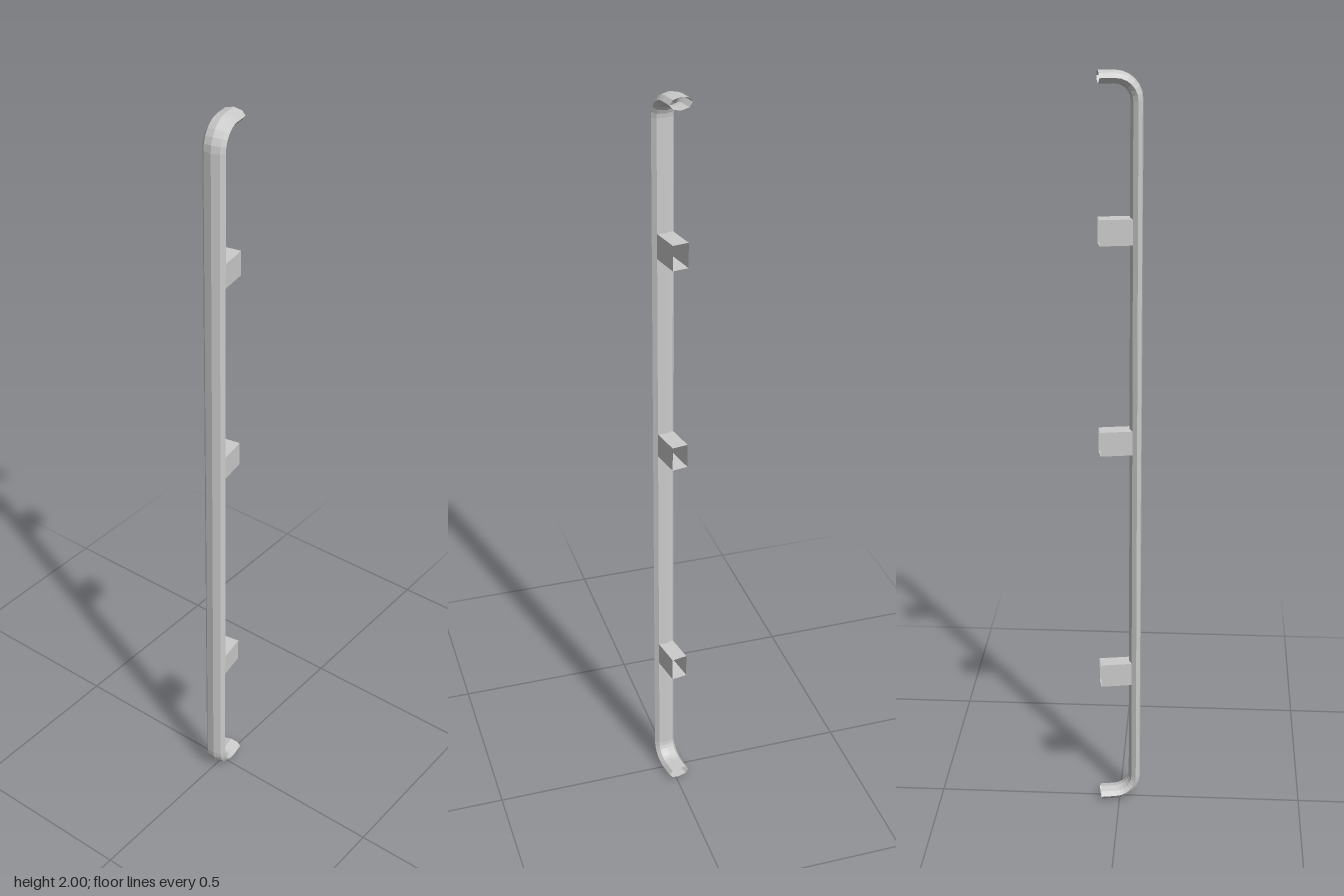
import * as THREE from 'three';

const HALF_W = 0.03, HALF_T = 0.016;      // flattened pipe section
const SIDES = 8, BEND_STEPS = 6, BEND_R = 0.055;
const FRONT_Z = 0.041, BACK_Z = -0.053;   // bar centre line and open ends

// Joins a list of equal closed rings into an open-ended skin
function loft(rings) {
  const n = rings[0].length, index = [];
  for (let i = 0; i < rings.length - 1; i++) {
    for (let j = 0; j < n; j++) {
      const a = i * n + j, b = i * n + (j + 1) % n;
      index.push(a, b, a + n, b, b + n, a + n);
    }
  }
  const geo = new THREE.BufferGeometry();
  geo.setAttribute('position', new THREE.Float32BufferAttribute(rings.flat(2), 3));
  geo.setIndex(index);
  const flat = geo.toNonIndexed();
  flat.computeVertexNormals();
  return flat;
}

// Pipe section at height y, depth z, tilted by angle a
function pipeRing(y, z, a) {
  return Array.from({ length: SIDES }, (_, j) => {
    const t = (j / SIDES) * Math.PI * 2, off = HALF_T * Math.sin(t);
    return [HALF_W * Math.cos(t), y + off * Math.sin(a), z + off * Math.cos(a)];
  });
}

export function createModel() {
  const group = new THREE.Group();
  group.name = 'pullHandle';
  const material = new THREE.MeshStandardMaterial({
    color: 0xcccccc, flatShading: true, side: THREE.DoubleSide,
  });

  // Pipe: returns to the rear at the top and bottom through rounded bends
  const topY = 2 - HALF_T, cy = topY - BEND_R, cz = FRONT_Z - BEND_R;
  const upper = [[topY, BACK_Z, Math.PI / 2]];
  for (let i = 0; i <= BEND_STEPS; i++) {
    const a = (Math.PI / 2) * (1 - i / BEND_STEPS);
    upper.push([cy + BEND_R * Math.sin(a), cz + BEND_R * Math.cos(a), a]);
  }
  const lower = upper.map(([y, z, a]) => [2 - y, z, -a]).reverse();
  const pipe = new THREE.Mesh(loft([...upper, ...lower].map((s) => pipeRing(...s))), material);
  pipe.name = 'handlePipe';
  group.add(pipe);

  // Brackets: hollow rectangular sleeves, open at the rear
  const w = 0.0212, h = 0.0325;
  const sleeveRing = (z) => [[w, -h, z], [w, h, z], [-w, h, z], [-w, -h, z]];
  const sleeve = loft([sleeveRing(BACK_Z), sleeveRing(0.03)]);
  [0.392, 1.062, 1.612].forEach((y, i) => {
    const bracket = new THREE.Mesh(sleeve, material);
    bracket.name = 'bracket' + (i + 1);
    bracket.position.y = y;
    group.add(bracket);
  });

  // The whole handle stands slightly turned
  group.rotation.y = THREE.MathUtils.degToRad(10);
  return group;
}
